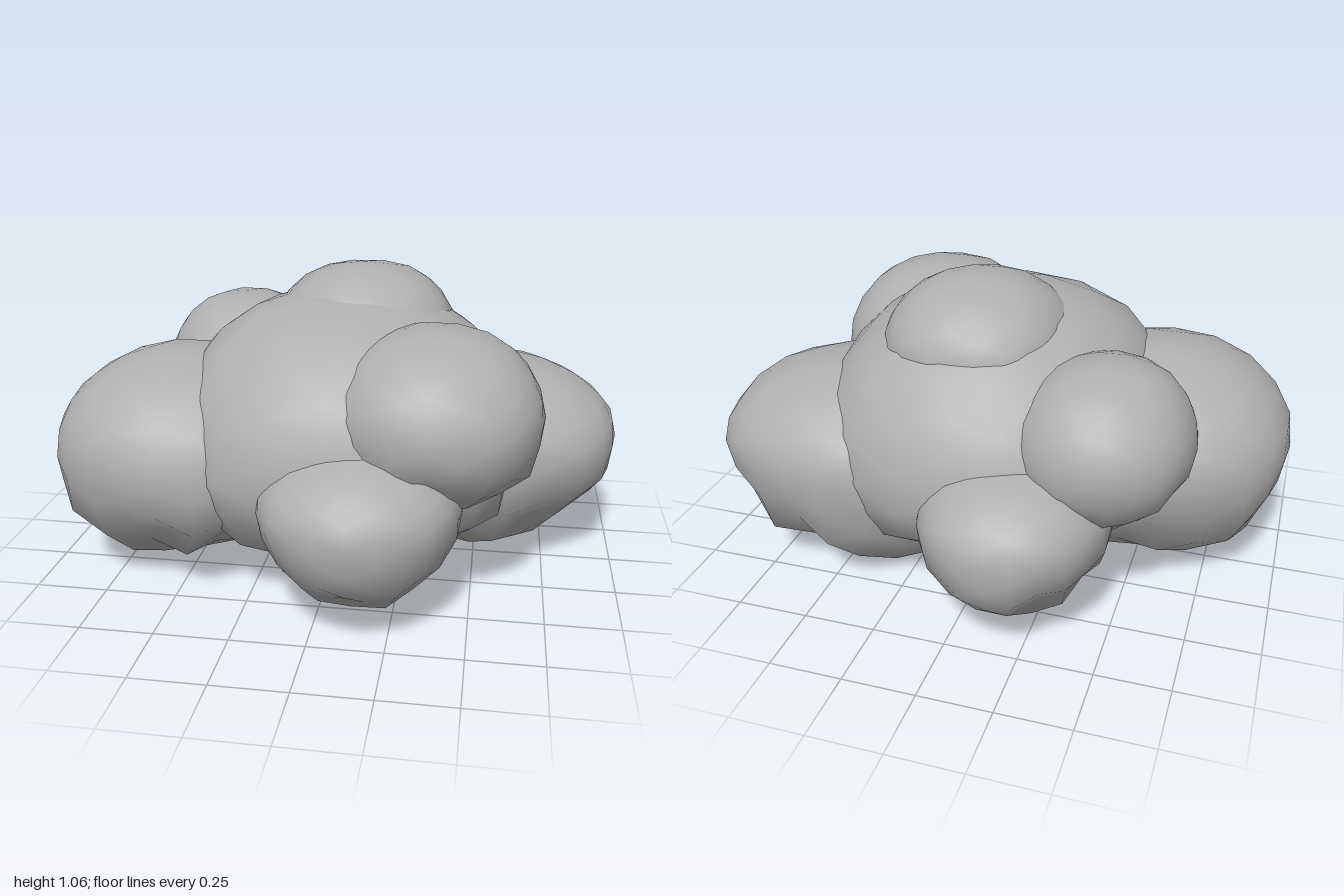
import * as THREE from 'three';
import { mergeVertices } from 'three/addons/utils/BufferGeometryUtils.js';

// Repeatable value in -1..1 for a direction
function hash(x, y, z, seed) {
  const s = Math.sin(x * 127.1 + y * 311.7 + z * 74.7 + seed * 19.3) * 43758.5453;
  return (s - Math.floor(s)) * 2 - 1;
}

// Lumpy ball with a ragged underside, fitted to the box from min to max.
// equator is the height of its widest ring, fullness above 2 squares its plan
function lobeGeometry({ min, max, equator, seed, ragged, fullness }) {
  let geo = new THREE.IcosahedronGeometry(1, 3);
  geo.deleteAttribute('uv');
  geo.deleteAttribute('normal');
  geo = mergeVertices(geo, 1e-4);
  const p = geo.attributes.position;
  const v = new THREE.Vector3();
  for (let i = 0; i < p.count; i++) {
    v.fromBufferAttribute(p, i).normalize();
    const { x, y, z } = v;
    // Soft swells everywhere, sharper folds and teeth low down
    const swell = Math.sin(4.1 * x + seed) * Math.sin(3.7 * y + 2 * seed) * Math.cos(4.3 * z - seed);
    const low = THREE.MathUtils.smoothstep(-y, 0.2, 0.6);
    const [a, b, c] = [x, y, z].map((n) => Math.round(n * 1000) / 1000);
    v.multiplyScalar(1 + 0.02 * swell + ragged * low * hash(a, b, c, seed));
    // Square the plan
    const round = Math.hypot(x, z);
    if (round > 0.001) {
      const norm = (Math.abs(x / round) ** fullness + Math.abs(z / round) ** fullness) ** (1 / fullness);
      v.x /= norm;
      v.z /= norm;
    }
    p.setXYZ(i, v.x, v.y, v.z);
  }
  geo.computeBoundingBox();
  const box = geo.boundingBox;
  const fit = THREE.MathUtils.mapLinear;
  for (let i = 0; i < p.count; i++) {
    const y = p.getY(i);
    p.setXYZ(
      i,
      fit(p.getX(i), box.min.x, box.max.x, min[0], max[0]),
      y > 0 ? fit(y, 0, box.max.y, equator, max[1]) : fit(y, box.min.y, 0, min[1], equator),
      fit(p.getZ(i), box.min.z, box.max.z, min[2], max[2]),
    );
  }
  geo.computeVertexNormals();
  return geo;
}

export function createModel() {
  const group = new THREE.Group();
  group.name = 'lobedClump';
  const grey = new THREE.MeshStandardMaterial({ color: 0xb0b0b0 });
  grey.name = 'grey';

  const lobes = [
    { name: 'mainLobe', min: [-0.6, 0.05, -0.67], max: [0.66, 0.99, 0.65], equator: 0.46, seed: 1, ragged: 0.08, fullness: 2.3 },
    { name: 'topLobe', min: [-0.26, 0.6, -0.45], max: [0.4, 1.06, 0.22], equator: 0.82, seed: 2, ragged: 0.02, fullness: 2.2 },
    { name: 'rightSideLobe', min: [-1.0, 0.02, -0.35], max: [-0.06, 0.79, 0.59], equator: 0.44, seed: 3, ragged: 0.1, fullness: 2.2 },
    { name: 'leftSideLobe', min: [-0.04, 0.0, -0.61], max: [1.0, 0.72, 0.26], equator: 0.43, seed: 4, ragged: 0.12, fullness: 2.2 },
    { name: 'frontLowLobe', min: [-0.2, 0.07, 0.1], max: [0.47, 0.61, 0.86], equator: 0.39, seed: 5, ragged: 0.09, fullness: 2.1 },
    { name: 'frontUpperLobe', min: [0.0, 0.36, -0.08], max: [0.72, 0.94, 0.69], equator: 0.65, seed: 6, ragged: 0.09, fullness: 2.2 },
    { name: 'backUpperLobe', min: [-0.72, 0.34, -0.66], max: [-0.12, 0.89, 0.0], equator: 0.62, seed: 7, ragged: 0.09, fullness: 2.1 },
    { name: 'backLowLobe', min: [-0.49, 0.07, -0.86], max: [0.15, 0.61, -0.1], equator: 0.4, seed: 8, ragged: 0.09, fullness: 2.1 },
  ];
  for (const lobe of lobes) {
    const mesh = new THREE.Mesh(lobeGeometry(lobe), grey);
    mesh.name = lobe.name;
    group.add(mesh);
  }
  return group;
}
